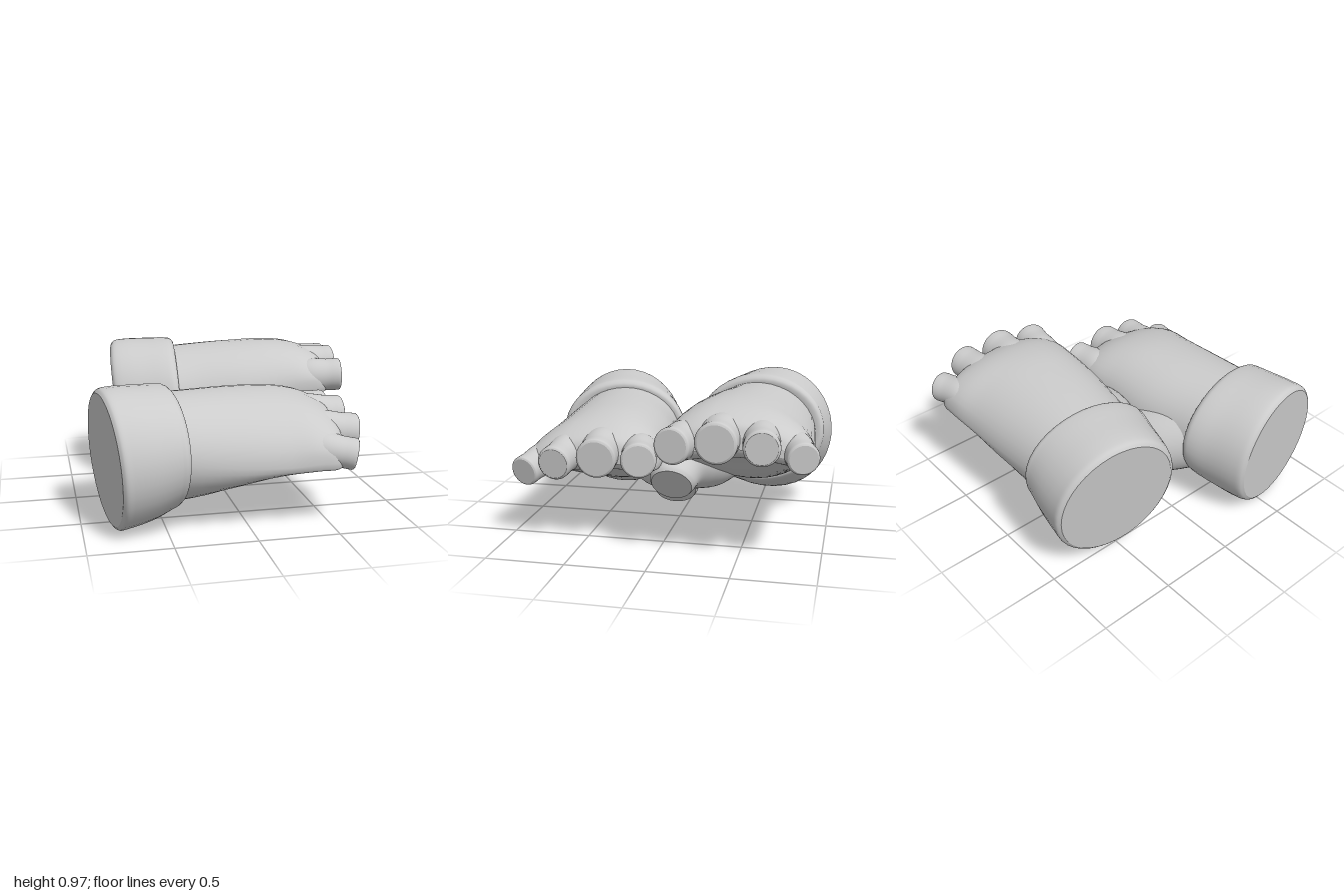
import * as THREE from 'three';

const V = (x, y, z) => new THREE.Vector3(x, y, z);
const SIDES = 40;
const material = new THREE.MeshStandardMaterial({ color: 0xcccccc });

// Ring of points; f(cos, sin) gives a point, running from +z towards +y
const ring = (f) => Array.from({ length: SIDES }, (_, j) => {
  const t = (j / SIDES) * Math.PI * 2;
  return f(Math.cos(t), Math.sin(t));
});

// Round ring facing along dir
function circle(c, dir, r) {
  const u = dir.clone().cross(V(0, 1, 0)).normalize();
  const v = u.clone().cross(dir).normalize();
  return ring((a, b) => c.clone().addScaledVector(u, a * r).addScaledVector(v, b * r));
}

// Smooth skin through rings, closed by flat caps with crisp rims
function loft(rings, steps) {
  const n = (rings.length - 1) * steps;
  const lines = rings[0].map((_, j) =>
    new THREE.CatmullRomCurve3(rings.map((r) => r[j]), false, 'centripetal').getPoints(n));
  const pos = [], index = [];
  const add = (p) => pos.push(p.x, p.y, p.z) / 3 - 1;
  for (let i = 0; i <= n; i++) lines.forEach((l) => add(l[i]));
  for (let i = 0; i < n; i++) for (let j = 0; j < SIDES; j++) {
    const a = i * SIDES + j, c = i * SIDES + (j + 1) % SIDES;
    index.push(a, a + SIDES, c, a + SIDES, c + SIDES, c);
  }
  for (const end of [0, n]) {
    const pts = lines.map((l) => l[end]);
    const mid = add(pts.reduce((s, p) => s.add(p), V(0, 0, 0)).divideScalar(SIDES));
    pts.forEach(add);
    for (let j = 0; j < SIDES; j++) {
      const a = mid + 1 + j, b = mid + 1 + (j + 1) % SIDES;
      index.push(mid, ...(end ? [b, a] : [a, b]));
    }
  }
  const g = new THREE.BufferGeometry();
  g.setAttribute('position', new THREE.Float32BufferAttribute(pos, 3));
  g.setIndex(index);
  g.computeVertexNormals();
  return g;
}

// Cuff: oval rings [x, y, z, height radius, width radius, slant, lean]
function cuff() {
  return loft([
    [-0.85, 0.435, 0.60, 0.405, 0.375, 0.17, 0.025],
    [-0.83, 0.435, 0.595, 0.428, 0.40, 0.17, 0.025],
    [-0.78, 0.44, 0.58, 0.432, 0.412, 0.16, 0.02],
    [-0.62, 0.455, 0.545, 0.412, 0.43, 0.15, 0.01],
    [-0.50, 0.475, 0.515, 0.385, 0.442, 0.14, 0],
    [-0.465, 0.48, 0.51, 0.372, 0.443, 0.13, 0],
    [-0.44, 0.48, 0.505, 0.345, 0.425, 0.13, 0],
    [-0.445, 0.48, 0.50, 0.30, 0.36, 0.13, 0],
  ].map(([x, y, z, ry, rz, slant, lean]) => ring((a, b) =>
    V(x + slant * rz * a - lean * b, y + ry * b, z + rz * a))), 4);
}

// Palm: sections [x, z, half width, y, top, bottom, arch, tilt, squareness]
function palm() {
  const power = (s, e) => Math.sign(s) * Math.abs(s) ** e;
  return loft([
    [-0.56, 0.50, 0.39, 0.47, 0.33, 0.31, 0, 0, 1],
    [-0.36, 0.495, 0.405, 0.47, 0.335, 0.315, 0.01, 0.01, 1],
    [-0.05, 0.475, 0.435, 0.49, 0.315, 0.235, 0.04, 0.03, 0.95],
    [0.22, 0.475, 0.445, 0.54, 0.25, 0.145, 0.08, 0.05, 0.85],
    [0.40, 0.48, 0.455, 0.575, 0.178, 0.125, 0.10, 0.05, 0.7],
    [0.51, 0.485, 0.445, 0.575, 0.13, 0.11, 0.10, 0.05, 0.65],
    [0.565, 0.487, 0.40, 0.575, 0.09, 0.08, 0.095, 0.05, 0.7],
    [0.59, 0.487, 0.34, 0.57, 0.03, 0.03, 0.08, 0.04, 0.8],
  ].map(([x, z, w, y, top, bottom, arch, tilt, e]) => ring((c, s) => {
    const a = power(c, e), b = power(s, e);
    return V(x, y - arch * a * a - tilt * a + (b > 0 ? top : bottom) * b, z + w * a);
  })), 6);
}

// Stubby finger sunk into the palm, pinched at the knuckle and blunt at the tip
function finger(base, tip, r) {
  const dir = tip.clone().sub(base).normalize();
  return loft([[0, 0.7], [0.4, 1.04], [0.75, 0.96], [0.9, 0.97], [0.975, 0.95], [1, 0.84]].map(
    ([t, s]) => circle(base.clone().lerp(tip, t), dir, r * s)), 4);
}

// Thumb swelling out of the heel of the hand
function thumb() {
  return loft([
    [V(-0.47, 0.45, 0.36), V(1, -0.3, -0.6), 0.22],
    [V(-0.21, 0.36, 0.145), V(1, -0.35, -0.6), 0.235],
    [V(-0.06, 0.335, 0.06), V(1, -0.45, -0.4), 0.2],
    [V(0.04, 0.305, 0.015), V(1, -0.6, -0.2), 0.165],
    [V(0.13, 0.26, -0.002), V(1, -0.75, -0.12), 0.148],
    [V(0.155, 0.242, -0.005), V(1, -0.75, -0.12), 0.132],
  ].map((r) => circle(...r)), 5);
}

// One hand, with the back of the cuff at its origin; mirrored on request
function hand(name, mirrored) {
  const group = new THREE.Group();
  group.name = name;
  const parts = {
    cuff: cuff(),
    palm: palm(),
    thumb: thumb(),
    indexFinger: finger(V(0.3, 0.58, 0.195), V(0.665, 0.575, 0.12), 0.115),
    middleFinger: finger(V(0.3, 0.605, 0.405), V(0.69, 0.58, 0.385), 0.13),
    ringFinger: finger(V(0.3, 0.58, 0.61), V(0.71, 0.54, 0.65), 0.112),
    littleFinger: finger(V(0.3, 0.515, 0.775), V(0.635, 0.455, 0.875), 0.1),
  };
  for (const [part, g] of Object.entries(parts)) {
    g.translate(0.85, -0.43, -0.57);
    if (mirrored) {
      g.scale(1, 1, -1);
      g.index.array.reverse();
      g.computeVertexNormals();
    }
    const mesh = new THREE.Mesh(g, material);
    mesh.name = part;
    group.add(mesh);
  }
  return group;
}

export function createModel() {
  const model = new THREE.Group();
  model.name = 'pairOfHands';
  const front = hand('frontHand', false);
  front.position.set(-0.85, 0.43, 0.57);
  const back = hand('backHand', true);
  back.position.set(-0.63, 0.518, -0.565);
  back.rotation.set(0.1, 0.025, 0.078);
  model.add(front, back);
  return model;
}
